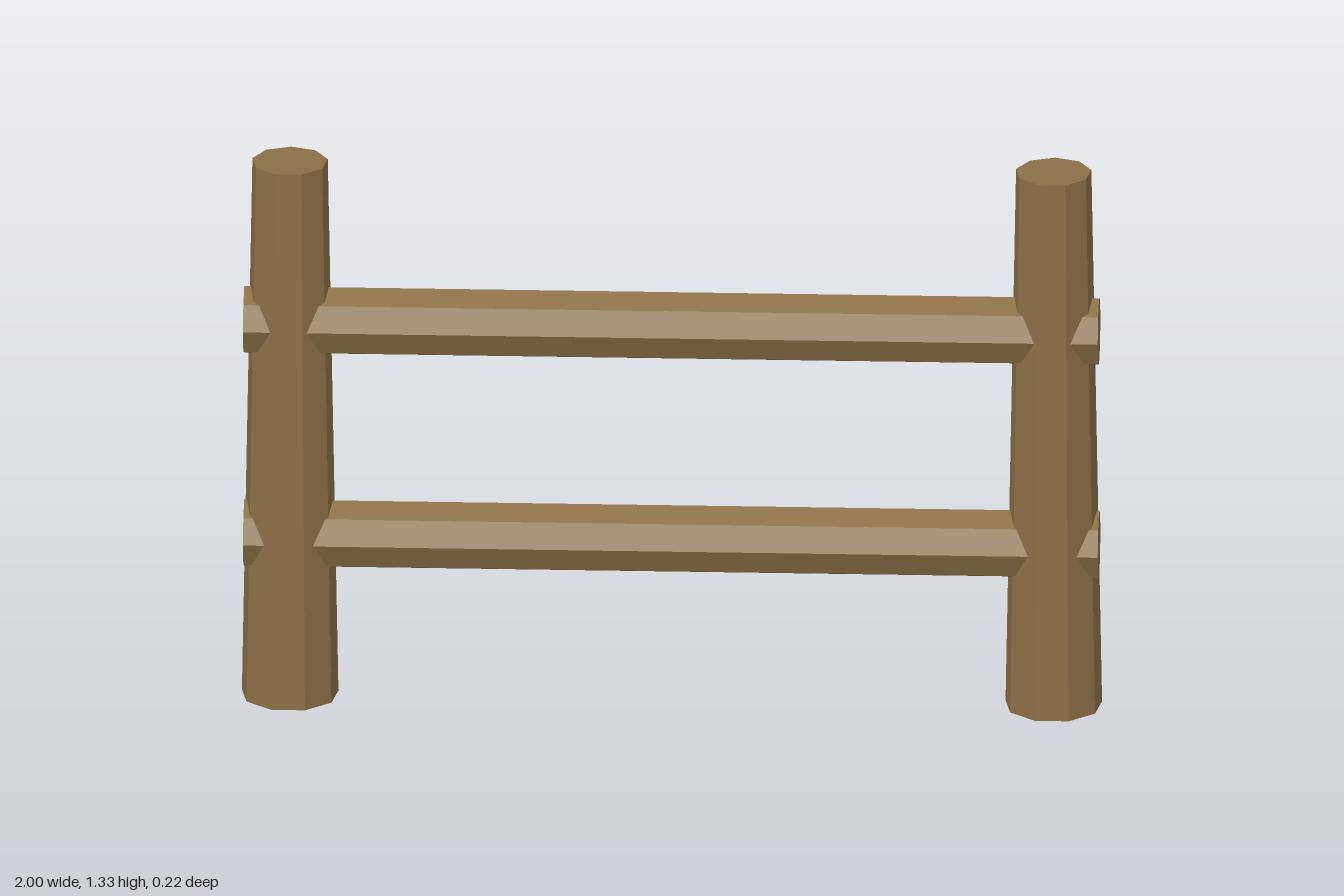
import * as THREE from 'three';

export function createModel() {
  const group = new THREE.Group();
  group.name = 'fence';
  const wood = new THREE.MeshStandardMaterial({ name: 'wood', color: 0x8b6f47 });
  const zAxis = 0.003;

  // Non-indexed cylinder with faceted sides
  const log = (rTop, rBottom, length, sides, start = 0) => {
    const geometry = new THREE.CylinderGeometry(rTop, rBottom, length, sides, 1, false, start).toNonIndexed();
    geometry.computeVertexNormals();
    return geometry;
  };

  // Two tapered nine-sided posts, with a flat face to the front
  const postGeometry = log(0.089, 0.114, 1.333, 9, Math.PI);
  for (const [name, x] of [['leftPost', 0.888], ['rightPost', -0.888]]) {
    const post = new THREE.Mesh(postGeometry, wood);
    post.name = name;
    post.position.set(x, 1.333 / 2, zAxis);
    group.add(post);
  }

  // Two eight-sided rails running through the posts
  const railGeometry = log(0.083, 0.083, 1.988, 8);
  railGeometry.rotateZ(Math.PI / 2);
  for (const [name, y] of [['upperRail', 0.935], ['lowerRail', 0.401]]) {
    const rail = new THREE.Mesh(railGeometry, wood);
    rail.name = name;
    rail.position.set(0, y, zAxis);
    group.add(rail);
  }

  return group;
}
